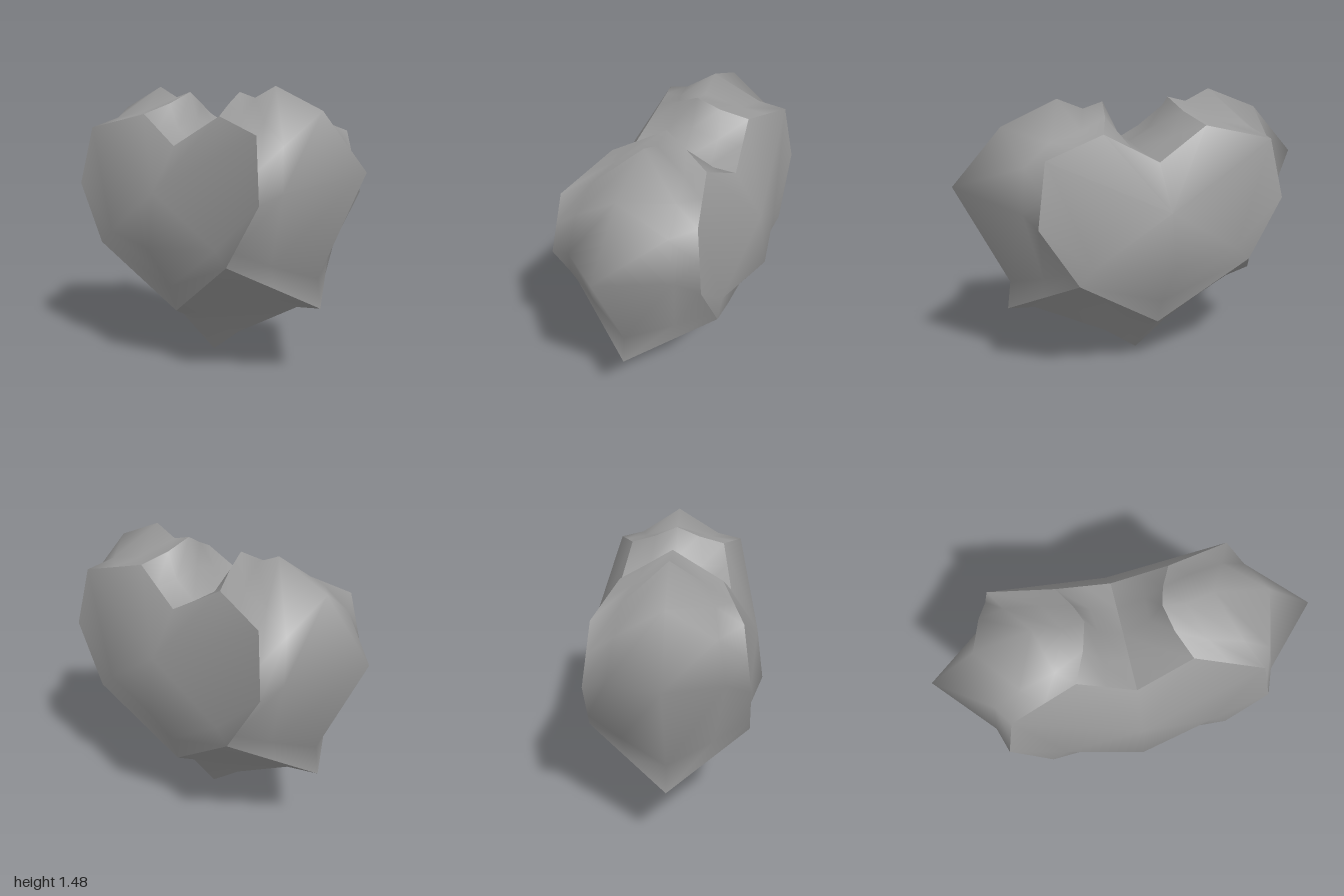
import * as THREE from 'three';

const material = new THREE.MeshStandardMaterial({ color: 0x999999 });
const mirrorX = ([x, y, z]) => [-x, y, z];
const mirrorZ = ([x, y, z]) => [x, y, -z];

// Corners of the front face rim, clockwise from the notch
const A = [0, 1.17, 0.3], B = [0.29, 1.33, 0.255], C = [0.63, 1.25, 0.355];
const D = [0.69, 0.93, 0.4], E = [0.49, 0.61, 0.41], F = [0, 0.28, 0.29];
const mix = (p, q, t) => p.map((v, i) => v + (q[i] - v) * t);

function smoothMesh(name, points, index) {
  const geometry = new THREE.BufferGeometry();
  geometry.setAttribute('position', new THREE.Float32BufferAttribute(points.flat(), 3));
  geometry.setIndex(index);
  geometry.computeVertexNormals();
  const mesh = new THREE.Mesh(geometry, material);
  mesh.name = name;
  return mesh;
}

// Smooth patch through rows of points (front to back, each clockwise)
function patch(name, rows) {
  const n = rows[0].length, index = [];
  for (let r = 0; r < rows.length - 1; r++) {
    for (let c = 0; c < n - 1; c++) {
      const a = r * n + c, b = a + 1, d = a + n, e = d + 1;
      index.push(a, b, d, b, e, d);
    }
  }
  return smoothMesh(name, rows.flat(), index);
}

// Bulging heart-shaped face, fanned from a spine to the rim
function heartFace(name) {
  const spine = [[0, 0.94, 0.45], [0, 0.65, 0.49], [0, 0.42, 0.335]];
  const side = [B, C, D, E, [0.41, 0.68, 0.402]];
  const points = [A, F, ...spine, ...side, ...side.map(mirrorX)];
  const half = [0, 2, 5, 5, 2, 6, 6, 2, 9, 6, 9, 7, 7, 9, 8, 2, 3, 9, 9, 3, 4, 9, 4, 8, 8, 4, 1];
  const index = [...half];
  for (let i = 0; i < half.length; i += 3) {
    const [a, b, c] = half.slice(i, i + 3).map(k => (k > 4 ? k + side.length : k));
    index.push(a, c, b);
  }
  return smoothMesh(name, points, index);
}

// Rows from the front rim over the middle ridge to the back rim
const wrap = (rim, mid, ridge) => [rim, mid, ridge, mid.map(mirrorZ), rim.map(mirrorZ)];

export function createModel() {
  const group = new THREE.Group();
  group.name = 'heart';

  const notchRows = wrap(
    [A, mix(A, B, 0.5), B],
    [[0, 1.175, 0.15], [0.14, 1.26, 0.14], [0.225, 1.388, 0.12]],
    [[0, 1.18, 0], [0.13, 1.3, 0], [0.19, 1.45, 0]]);

  const lobeRows = wrap(
    [B, mix(B, C, 0.5), C, mix(C, D, 0.5), D, mix(D, E, 0.75), E],
    [[0.225, 1.388, 0.12], [0.38, 1.34, 0.18], [0.56, 1.305, 0.22], [0.7, 1.2, 0.24],
      [0.73, 0.98, 0.28], [0.62, 0.61, 0.23], [0.62, 0.495, 0.205]],
    [[0.19, 1.45, 0], [0.3, 1.42, 0], [0.44, 1.48, 0], [0.74, 1.36, 0],
      [1, 1.08, 0], [0.73, 0.53, 0], [0.75, 0.38, 0]]);

  // Underside, mirrored across the middle
  const both = row => [...row, ...row.slice(0, -1).reverse().map(mirrorX)];
  const tipRows = [
    [E, mix(E, F, 0.25), mix(E, F, 0.7), F],
    [[0.62, 0.495, 0.205], [0.485, 0.435, 0.19], [0.16, 0.265, 0.16], [0, 0.21, 0.16]],
    [[0.75, 0.38, 0], [0.6, 0.36, 0], [0.19, 0.14, 0], [0, 0, 0]],
  ].map(both);

  // Each part repeats by a half turn about the vertical axis
  const parts = [
    ['frontFace', 'backFace', n => heartFace(n)],
    ['leftLobe', 'rightLobe', n => patch(n, lobeRows)],
    ['leftNotchWall', 'rightNotchWall', n => patch(n, notchRows)],
    ['frontTip', 'backTip', n => patch(n, tipRows)],
  ];
  for (const [first, second, build] of parts) {
    const turned = build(second);
    turned.rotation.y = Math.PI;
    group.add(build(first), turned);
  }
  return group;
}
